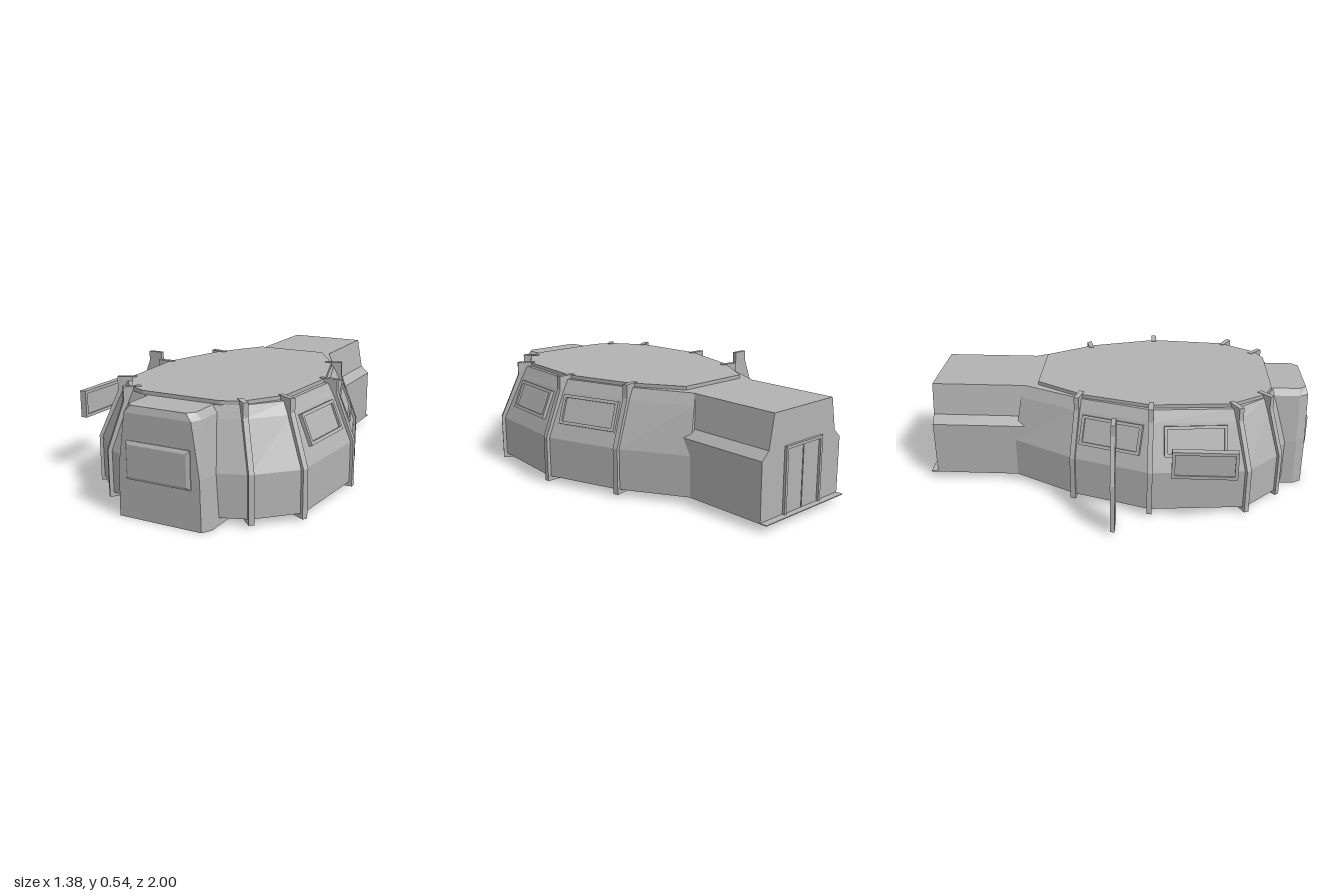
import * as THREE from 'three';

const grey = new THREE.MeshStandardMaterial({ color: 0xb2b2b2 });
grey.name = 'hull grey';

function add(parent, name, geometry) {
  const mesh = new THREE.Mesh(geometry, grey);
  mesh.name = name;
  parent.add(mesh);
  return mesh;
}

function box(parent, name, w, h, d, x, y, z) {
  const mesh = add(parent, name, new THREE.BoxGeometry(w, h, d));
  mesh.position.set(x, y, z);
  return mesh;
}

const shapeOf = pts => new THREE.Shape(pts.map(p => new THREE.Vector2(p[0], p[1])));
const extrude = (shape, depth) => new THREE.ExtrudeGeometry(shape, { depth, bevelEnabled: false });

// Mirrors a half outline of [halfWidth, z] points into a closed ring at height y
function ring(half, y) {
  const right = half.map(([x, z]) => [x, y, z]);
  const left = half.map(([x, z]) => [-x, y, z]).reverse();
  return [...right, ...left];
}

// Joins rings from bottom to top with flat faces and closes both ends
function loft(rings) {
  const v = [];
  const n = rings[0].length;
  for (let r = 0; r < rings.length - 1; r++) {
    const a = rings[r], b = rings[r + 1];
    for (let i = 0; i < n; i++) {
      const j = (i + 1) % n;
      v.push(...a[i], ...b[i], ...a[j], ...a[j], ...b[i], ...b[j]);
    }
  }
  const low = rings[0], top = rings[rings.length - 1];
  for (let k = 1; k < n - 1; k++) {
    v.push(...low[0], ...low[k], ...low[k + 1]);
    v.push(...top[0], ...top[k + 1], ...top[k]);
  }
  const g = new THREE.BufferGeometry();
  g.setAttribute('position', new THREE.Float32BufferAttribute(v, 3));
  g.computeVertexNormals();
  return g;
}

// Half outlines of the hull, from the neck at the back to the front
const base = [[0.28, -0.53], [0.46, -0.21], [0.59, 0.18], [0.545, 0.66], [0.37, 0.83], [0.2, 0.89]];
const mid = [[0.225, -0.5], [0.375, -0.19], [0.495, 0.18], [0.455, 0.61], [0.31, 0.77], [0.19, 0.82]];
const top = [[0.205, -0.48], [0.35, -0.175], [0.465, 0.18], [0.43, 0.59], [0.29, 0.755], [0.18, 0.8]];
const plate = [[0.19, -0.41], [0.342, -0.165], [0.445, 0.18], [0.412, 0.57], [0.29, 0.75], [0.2, 0.79]];

// Raised frame with a recessed pane, facing +z
function framedPanel(name, w, h, border, depth) {
  const g = new THREE.Group();
  g.name = name;
  const rect = (a, b) => [[-a, -b], [a, -b], [a, b], [-a, b]];
  const s = shapeOf(rect(w / 2, h / 2));
  s.holes.push(new THREE.Path(rect(w / 2 - border, h / 2 - border).map(p => new THREE.Vector2(...p)).reverse()));
  add(g, 'frame', extrude(s, depth));
  box(g, 'pane', w - 2 * border, h - 2 * border, 0.006, 0, 0, depth * 0.4);
  return g;
}

// Rib that wraps a hull corner from under the floor up onto the roof
function addRib(parent, i, side) {
  const [bx, bz] = base[i], [mx, mz] = mid[i], [tx, tz] = top[i];
  const d = Math.hypot(bx - mx, bz - mz), e = Math.hypot(bx - tx, bz - tz);
  const g = extrude(shapeOf([
    [-0.1, 0.012], [0.013, 0.012], [0.013, 0.245], [0.015 - d, 0.475], [0.015 - d, 0.543],
    [-e - 0.045, 0.543], [-e - 0.045, 0.515], [-d - 0.025, 0.465], [-0.02, 0.24], [-0.02, 0.04], [-0.1, 0.04]
  ]), 0.026);
  g.translate(0, 0, -0.013);
  const rib = add(parent, 'rib', g);
  rib.position.set(side * bx, 0, bz);
  rib.rotation.y = Math.atan2(-(bz - mz), side * (bx - mx));
}

// Window on the sloping wall between hull corners i and i + 1
function addWindow(parent, i, side, zMid, width) {
  const p = (q, y) => new THREE.Vector3(side * q[0], y, q[1]);
  const a = p(base[i], 0.24), b = p(base[i + 1], 0.24), c = p(mid[i], 0.465), d = p(mid[i + 1], 0.465);
  const along = b.clone().sub(a).normalize().multiplyScalar(-side);
  const low = a.clone().lerp(b, (zMid - a.z) / (b.z - a.z));
  const high = c.clone().lerp(d, (zMid - c.z) / (d.z - c.z));
  const out = along.clone().cross(high.clone().sub(low)).normalize();
  const up = out.clone().cross(along);
  const win = framedPanel('window', width, 0.15, 0.016, 0.022);
  win.quaternion.setFromRotationMatrix(new THREE.Matrix4().makeBasis(along, up, out));
  win.position.copy(low.lerp(high, 0.63)).addScaledVector(out, -0.004);
  parent.add(win);
}

export function createModel() {
  const model = new THREE.Group();
  model.name = 'station module';
  const hull = new THREE.Group();
  hull.name = 'hull';
  hull.position.x = 0.083;
  model.add(hull);

  // Main room and roof plate
  add(hull, 'room', loft([ring(base, 0.035), ring(base, 0.24), ring(mid, 0.465), ring(top, 0.522)]));
  add(hull, 'roofPlate', loft([ring(plate, 0.515), ring(plate, 0.54)]));

  // Ribs and windows on both sides
  for (const side of [1, -1]) {
    for (let i = 1; i <= 4; i++) addRib(hull, i, side);
    addWindow(hull, 1, side, -0.015, 0.32);
    addWindow(hull, 2, side, 0.4, 0.31);
  }

  // Rear corridor with side ledges
  const half = [[0.28, 0.035], [0.28, 0.32], [0.237, 0.36], [0.207, 0.522]];
  const section = [...half, ...half.map(([x, y]) => [-x, y]).reverse()];
  const corridor = add(hull, 'corridor', extrude(shapeOf(section), 0.52));
  corridor.position.z = -0.965;
  box(hull, 'doorSill', 0.56, 0.004, 0.05, 0, 0.037, -0.975);

  // Rear double door
  for (const side of [1, -1]) {
    box(hull, 'doorPost', 0.014, 0.32, 0.025, side * 0.123, 0.195, -0.966);
    box(hull, 'doorLeaf', 0.11, 0.305, 0.01, side * 0.058, 0.19, -0.964);
  }
  box(hull, 'doorLintel', 0.26, 0.014, 0.025, 0, 0.352, -0.966);

  // Front porch with chamfered corners
  const porch = (w, f, z, y) => ring([[w, 0.78], [w, 0.94], [f, z]], y);
  add(hull, 'porch', loft([
    porch(0.24, 0.212, 0.985, 0), porch(0.228, 0.207, 0.985, 0.24),
    porch(0.195, 0.17, 0.985, 0.49), porch(0.17, 0.14, 0.975, 0.522)
  ]));
  const sign = add(hull, 'frontPanel', new THREE.ExtrudeGeometry(
    shapeOf([[-0.15, -0.075], [0.15, -0.075], [0.15, 0.075], [-0.15, 0.075]]),
    { depth: 0.004, bevelThickness: 0.01, bevelSize: 0.015, bevelSegments: 1 }));
  sign.position.set(0, 0.275, 0.986);

  // Pear-shaped slab and small pads under the floor
  const pear = [[0.165, -0.335], [0.12, -0.23], [0.12, -0.11], [0.24, 0.14], [0.275, 0.41], [0.2, 0.52], [0.1, 0.565]];
  const slab = add(hull, 'undersideSlab',
    extrude(shapeOf([...pear, ...pear.map(([x, z]) => [-x, z]).reverse()]), 0.02));
  slab.rotation.x = Math.PI / 2;
  slab.position.y = 0.036;
  for (const [x, z] of [[0.39, 0.04], [0.42, 0.39], [0.32, 0.68]]) {
    for (const side of [1, -1]) box(hull, 'floorPad', 0.055, 0.012, 0.085, side * x, 0.031, z);
  }
  box(hull, 'floorPad', 0.1, 0.012, 0.06, 0, 0.012, 0.336);

  // Detached spare rib
  const spare = add(model, 'spareRib', extrude(shapeOf([
    [-0.69, 0.015], [-0.55, 0.015], [-0.55, 0.285], [-0.525, 0.46], [-0.525, 0.543],
    [-0.605, 0.543], [-0.605, 0.49], [-0.69, 0.27]
  ]), 0.022));
  spare.position.z = -0.004;

  // Detached spare window, framed on both faces
  for (const side of [1, -1]) {
    const win = framedPanel('spareWindow', 0.31, 0.14, 0.016, 0.017);
    win.rotation.y = side * Math.PI / 2;
    win.position.set(-0.628, 0.365, 0.437);
    model.add(win);
  }
  return model;
}
